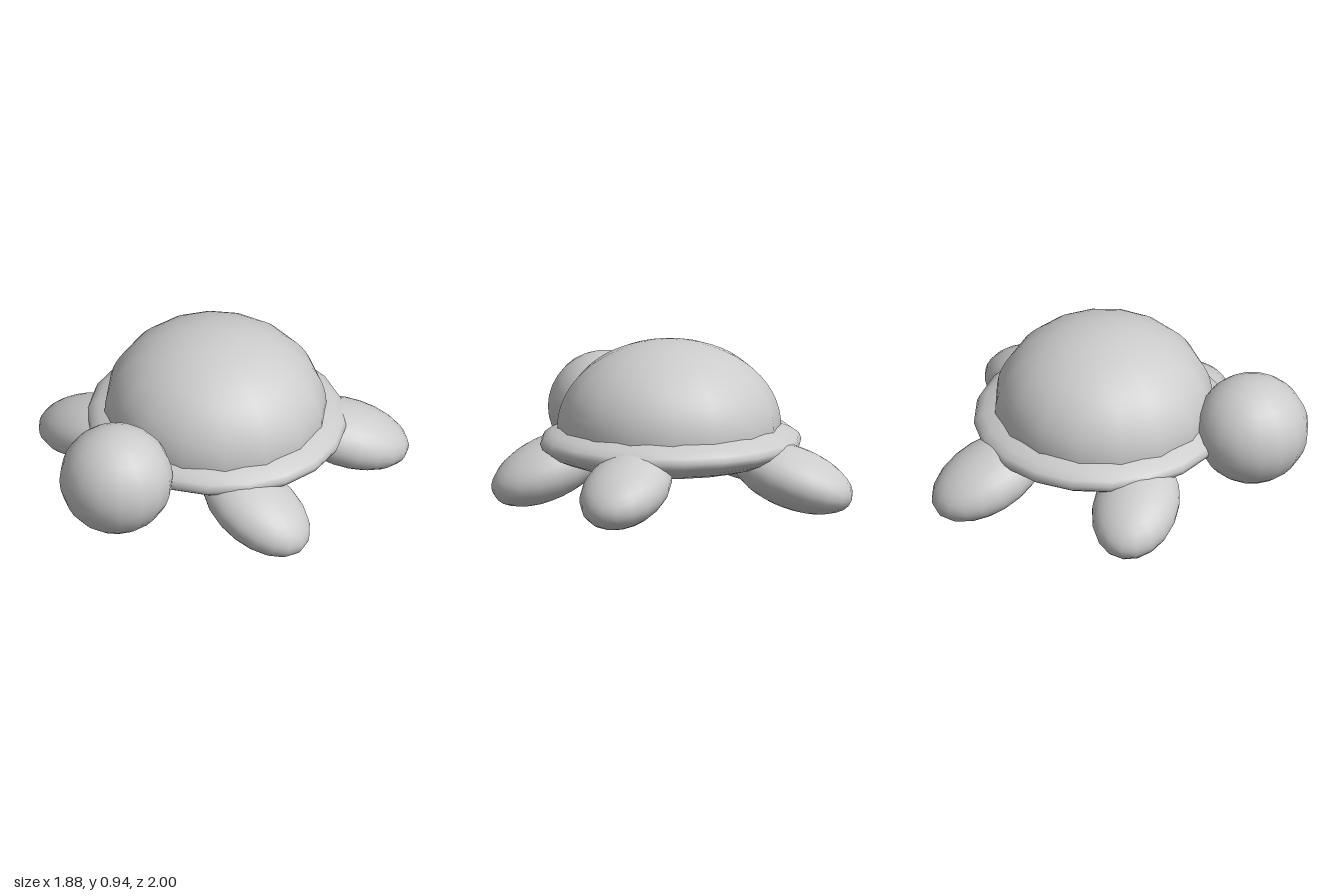
import * as THREE from 'three';

const material = new THREE.MeshStandardMaterial({ color: 0xcccccc });

// A smooth sphere squashed to the given half-sizes
function ellipsoid(name, center, radii, segments = 16, sweep = Math.PI) {
  const geometry = new THREE.SphereGeometry(1, segments, 16, 0, Math.PI * 2, 0, sweep);
  const mesh = new THREE.Mesh(geometry, material);
  mesh.name = name;
  mesh.position.set(...center);
  mesh.scale.set(...radii);
  return mesh;
}

export function createModel() {
  const model = new THREE.Group();
  model.name = 'turtle';

  // Domed shell, sunk slightly into the flat rim that also forms the belly
  model.add(ellipsoid('shellDome', [0.017, 0.455, -0.169], [0.627, 0.485, 0.612], 16, Math.PI * 0.54));
  model.add(ellipsoid('shellRimAndBelly', [0.014, 0.37, -0.183], [0.737, 0.165, 0.71], 20));

  // Round head
  model.add(ellipsoid('head', [0.017, 0.42, 0.68], [0.317, 0.31, 0.317], 16));

  // Flippers: long axis points outward (yaw, degrees) and slopes down (tilt, degrees)
  const flippers = [
    ['frontLeftFlipper', [0.6, 0.21, 0.16], 0, 22],
    ['frontRightFlipper', [-0.6, 0.215, 0.16], 180, 18.6],
    ['backLeftFlipper', [0.53, 0.23, -0.697], 42, 19],
    ['backRightFlipper', [-0.49, 0.215, -0.712], 138, 18.6],
  ];
  for (const [name, center, yaw, tilt] of flippers) {
    const flipper = ellipsoid(name, center, [0.36, 0.168, 0.24], 18);
    flipper.rotation.set(0, THREE.MathUtils.degToRad(yaw), THREE.MathUtils.degToRad(-tilt));
    model.add(flipper);
  }
  return model;
}
